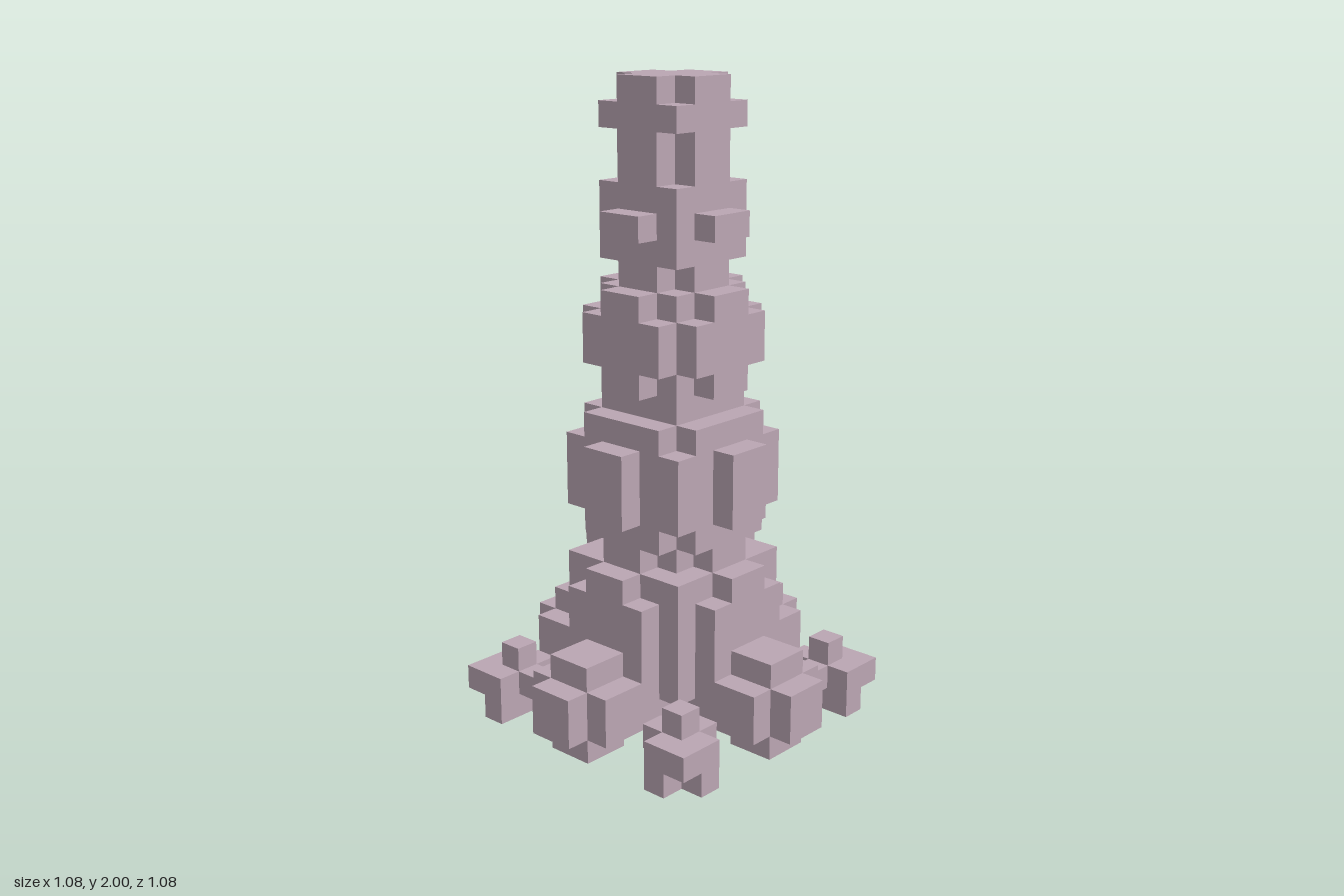
import * as THREE from 'three';

const U = 1 / 13; // one block

export function createModel() {
  const model = new THREE.Group();
  model.name = 'blockTower';
  const stone = new THREE.MeshStandardMaterial({ color: 0xbba6b3 });
  stone.name = 'mauveStone';

  // box given by block ranges
  const block = (parent, name, x0, x1, y0, y1, z0, z1) => {
    const geo = new THREE.BoxGeometry((x1 - x0) * U, (y1 - y0) * U, (z1 - z0) * U);
    const mesh = new THREE.Mesh(geo, stone);
    mesh.position.set((x0 + x1) / 2 * U, (y0 + y1) / 2 * U, (z0 + z1) / 2 * U);
    mesh.name = name;
    parent.add(mesh);
  };

  // square section of the trunk, and a section with its corner blocks left out
  const square = (name, h, y0, y1) => block(model, name, -h, h, y0, y1, -h, h);
  const notched = (name, h, y0, y1, arm = h - 1) => {
    block(model, name, -h, h, y0, y1, -arm, arm);
    block(model, name, -arm, arm, y0, y1, -h, -arm);
    block(model, name, -arm, arm, y0, y1, arm, h);
  };

  // trunk, from the ground up
  square('footBlock', 1, 0, 1);
  notched('baseBottom', 3, 1, 2);
  square('base', 3, 2, 7);
  square('lowerNeck', 2, 7, 8);
  notched('lowerNeckRim', 3, 8, 9);
  square('middleTier', 3, 9, 12);
  notched('middleTierTop', 3, 12, 13);
  square('upperTier', 2, 13, 18);
  notched('upperNeck', 2, 18, 19);
  square('spire', 2, 19, 22);
  notched('spireWaist', 2, 22, 24);
  square('spireCollar', 2, 24, 25);
  notched('spireTop', 2, 25, 26);

  for (let i = 0; i < 4; i++) {
    // everything that sticks out of one face
    const side = new THREE.Group();
    side.name = 'side' + (i + 1);
    side.rotation.y = i * Math.PI / 2;
    model.add(side);
    block(side, 'baseButtress', -2, 2, 1, 6, 3, 4);
    block(side, 'baseButtressTop', -1, 1, 6, 7, 3, 4);
    block(side, 'rootArm', -2, 2, 1, 3, 4, 6);
    block(side, 'rootArmTop', -1, 1, 3, 4, 4, 6);
    block(side, 'rootArmTip', -1, 1, 1, 3, 6, 7);
    block(side, 'rootArmFoot', -1, 1, 0, 1, 4, 6);
    block(side, 'neckBracket', -1, 1, 7, 8, 2, 3);
    block(side, 'middlePanel', -1, 1, 9, 12, 3, 4);
    block(side, 'upperLobe', -2, 2, 15, 17, 2, 3);
    block(side, 'upperLobeTop', -1, 1, 17, 18, 2, 3);
    block(side, 'upperLobeBottom', -1, 1, 14, 15, 2, 3);
    block(side, 'spireLedge', -1, 1, 20, 21, 2, 3);

    // separate cluster at one corner
    const cluster = new THREE.Group();
    cluster.name = 'cornerCluster' + (i + 1);
    cluster.rotation.y = i * Math.PI / 2;
    model.add(cluster);
    block(cluster, 'clusterBody', 4, 6, 1, 2, 4, 6);
    block(cluster, 'clusterTop', 4, 5, 2, 3, 4, 5);
    block(cluster, 'clusterFoot', 4, 6, 0, 1, 4, 5);
    block(cluster, 'clusterFoot', 4, 5, 0, 1, 5, 6);
    block(cluster, 'clusterArm', 3, 4, 1, 2, 4, 5);
    block(cluster, 'clusterArm', 4, 5, 1, 2, 3, 4);
  }
  return model;
}
